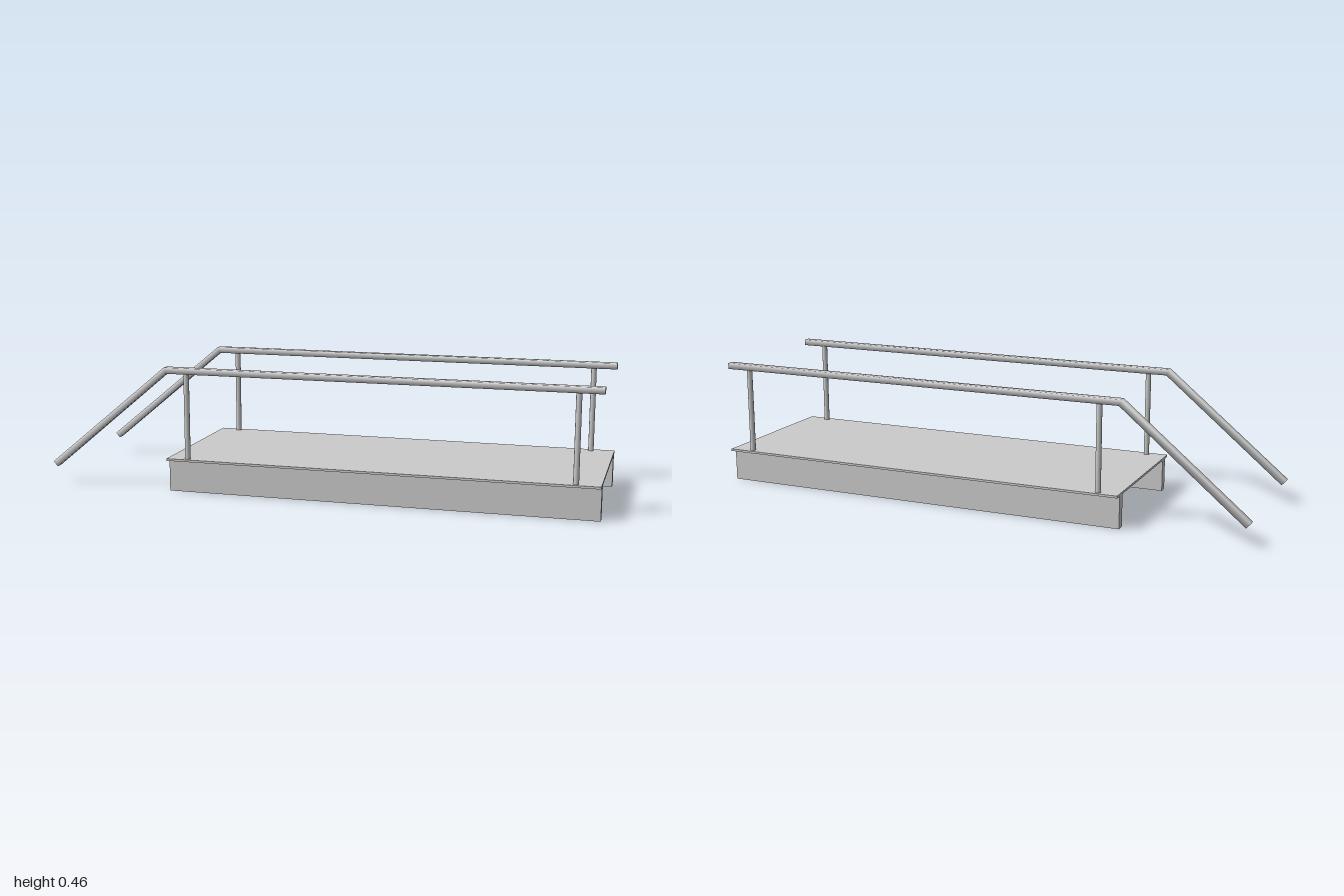
import * as THREE from 'three';

const material = new THREE.MeshStandardMaterial({ color: 0xcccccc });
const tubeMaterial = new THREE.MeshStandardMaterial({ color: 0xcccccc, side: THREE.DoubleSide });

const X0 = -0.545, X1 = 1; // deck ends

function box(name, x0, x1, y0, y1, z, depth) {
  const mesh = new THREE.Mesh(new THREE.BoxGeometry(x1 - x0, y1 - y0, depth), material);
  mesh.position.set((x0 + x1) / 2, (y0 + y1) / 2, z);
  mesh.name = name;
  return mesh;
}

// Open-ended square tube: each ring holds the top and bottom edge in the xy plane
function railGeometry(rings, width) {
  const h = width / 2, positions = [], index = [];
  for (const [[tx, ty], [bx, by]] of rings) {
    positions.push(tx, ty, h, tx, ty, -h, bx, by, -h, bx, by, h);
  }
  for (let r = 0; r < rings.length - 1; r++) {
    for (let i = 0; i < 4; i++) {
      const a = r * 4 + i, b = r * 4 + (i + 1) % 4, c = a + 4, d = b + 4;
      index.push(a, c, b, b, c, d);
    }
  }
  const geometry = new THREE.BufferGeometry();
  geometry.setAttribute('position', new THREE.Float32BufferAttribute(positions, 3));
  geometry.setIndex(index);
  // Shared corners give the bars a soft, rounded shading
  geometry.computeVertexNormals();
  return geometry;
}

export function createModel() {
  const model = new THREE.Group();
  model.name = 'rampPlatform';

  // Deck plate
  model.add(box('deck', X0, X1, 0.117, 0.125, 0, 0.58));

  // Rail path: level run, mitred bend, sloping run with a square-cut foot
  const rings = [
    [[X1, 0.456], [X1, 0.434]],
    [[-0.55, 0.456], [-0.542, 0.434]],
    [[-1, 0.085], [-0.984, 0.067]],
  ];
  const rail = railGeometry(rings, 0.027);
  const post = new THREE.CylinderGeometry(0.01, 0.01, 0.33, 12);

  for (const side of [1, -1]) {
    const label = side > 0 ? 'left' : 'right';

    // Support beam under the deck
    model.add(box(label + 'Beam', X0, X1, 0, 0.117, side * 0.247, 0.031));

    // Handrail with two posts
    const handrail = new THREE.Group();
    handrail.name = label + 'Handrail';
    handrail.position.z = side * 0.27;
    const bar = new THREE.Mesh(rail, tubeMaterial);
    bar.name = label + 'Rail';
    handrail.add(bar);
    for (const x of [-0.47, 0.915]) {
      const mesh = new THREE.Mesh(post, material);
      mesh.name = label + 'Post';
      mesh.position.set(x, 0.285, 0);
      handrail.add(mesh);
    }
    model.add(handrail);
  }
  return model;
}
